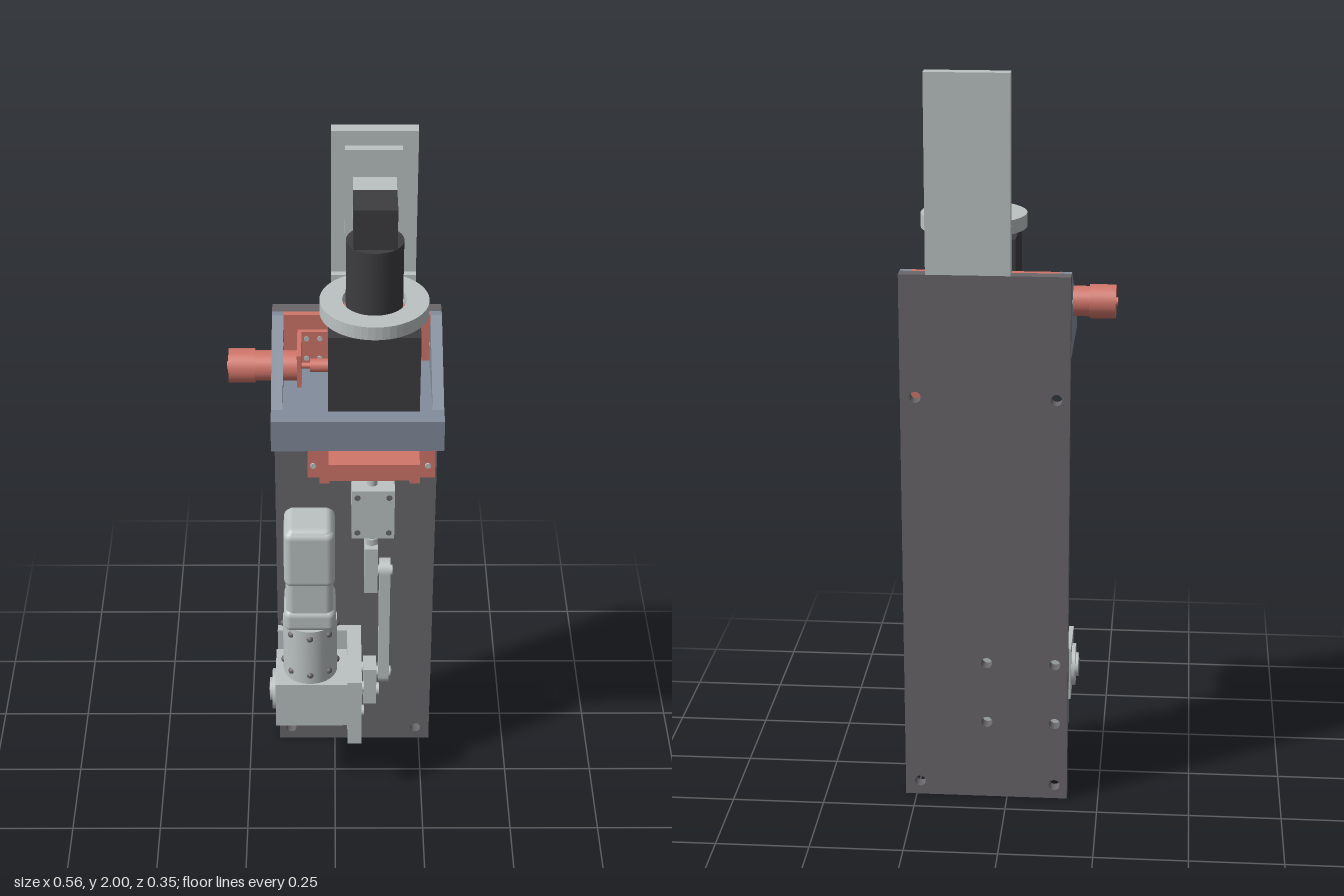
import * as THREE from 'three';
import { RoundedBoxGeometry } from 'three/addons/geometries/RoundedBoxGeometry.js';

const mat = (name, color) => {
  const m = new THREE.MeshStandardMaterial({ color });
  m.name = name;
  return m;
};

export function createModel() {
  const model = new THREE.Group();
  const dark = mat('dark grey', 0x69676a), light = mat('light grey', 0xbcc2c2);
  const red = mat('coral red', 0xd2766a), blue = mat('blue grey', 0x828c9b);
  const black = mat('near black', 0x3d3d40);

  const add = (name, geo, m) => {
    const mesh = new THREE.Mesh(geo, m);
    mesh.name = name;
    model.add(mesh);
    return mesh;
  };
  // Box given by its min and max on each axis
  const box = (name, m, x0, x1, y0, y1, z0, z1, r = 0) => {
    const s = [x1 - x0, y1 - y0, z1 - z0];
    const geo = r ? new RoundedBoxGeometry(...s, 3, r) : new THREE.BoxGeometry(...s);
    const mesh = add(name, geo, m);
    mesh.position.set((x0 + x1) / 2, (y0 + y1) / 2, (z0 + z1) / 2);
    return mesh;
  };
  // Cylinder from a to b along one axis; u, v are the two other coordinates in x, y, z order
  const rod = (name, m, axis, a, b, u, v, r, seg = 32) => {
    const geo = new THREE.CylinderGeometry(r, r, b - a, seg);
    if (axis === 'x') geo.rotateZ(Math.PI / 2);
    if (axis === 'z') geo.rotateX(Math.PI / 2);
    const mesh = add(name, geo, m), c = (a + b) / 2;
    if (axis === 'x') mesh.position.set(c, u, v);
    else if (axis === 'y') mesh.position.set(u, c, v);
    else mesh.position.set(u, v, c);
    return mesh;
  };
  const shapeOf = pts => new THREE.Shape(pts.map(p => new THREE.Vector2(...p)));
  const hole = (shape, x, y, r) => {
    const p = new THREE.Path();
    p.absarc(x, y, r, 0, Math.PI * 2, true);
    shape.holes.push(p);
  };
  const extrude = (shape, depth) => new THREE.ExtrudeGeometry(shape, { depth, bevelEnabled: false, curveSegments: 24 });

  // Drilled back plate
  const plate = shapeOf([[-0.165, 0], [0.28, 0], [0.28, 1.48], [-0.165, 1.48]]);
  [[-0.13, 0.04], [0.24, 0.04], [-0.13, 0.225], [-0.13, 0.4], [0.055, 0.225], [0.055, 0.4],
    [-0.13, 1.15], [0.24, 1.15]].forEach(([x, y]) => hole(plate, x, y, 0.015));
  add('backPlate', extrude(plate, 0.037), dark).position.z = -0.177;

  // Upper mast and the arm that holds the sensor head
  box('mast', light, -0.01, 0.21, 1.48, 2, -0.177, -0.14);
  box('mastFoot', light, -0.01, 0.21, 1.3, 1.6, -0.14, -0.12);
  box('mastPad', light, 0.025, 0.17, 1.72, 1.96, -0.14, -0.115);
  box('headArm', light, 0.045, 0.155, 1.775, 1.885, -0.117, -0.045);
  box('headBlock', black, 0.045, 0.155, 1.775, 1.885, -0.045, 0.062);
  rod('headBarrel', black, 'y', 1.59, 1.775, 0.1, 0.01, 0.073, 48);

  // Flange ring around the barrel
  const ring = new THREE.Shape();
  ring.absarc(0, 0, 0.14, 0, Math.PI * 2);
  hole(ring, 0, 0, 0.082);
  const ringGeo = extrude(ring, 0.037);
  ringGeo.rotateX(-Math.PI / 2);
  add('flangeRing', ringGeo, light).position.set(0.1, 1.567, 0.01);
  rod('ringSeat', red, 'y', 1.555, 1.575, 0.1, 0.01, 0.083, 48);

  // Main housing with a recessed rim on top
  box('housing', black, -0.018, 0.217, 1.255, 1.552, -0.11, 0.127);
  for (const x of [-0.018, 0.207]) box('housingRimSide', black, x, x + 0.01, 1.552, 1.56, -0.11, 0.127);
  for (const z of [-0.11, 0.117]) box('housingRimEnd', black, -0.008, 0.207, 1.552, 1.56, z, z + 0.01);
  box('housingBase', dark, 0, 0.19, 1.21, 1.25, -0.08, 0.11);

  // Shelf with sloping side cheeks
  box('shelf', blue, -0.165, 0.28, 1.25, 1.34, -0.14, 0.175);
  box('shelfUnderside', red, -0.13, 0.25, 1.246, 1.25, -0.138, 0.11);
  const cheek = shapeOf([[0.14, 1.34], [-0.12, 1.34], [0.12, 1.48], [0.14, 1.48]]);
  for (const x of [-0.135, 0.28]) {
    const geo = extrude(cheek, 0.03);
    geo.rotateY(Math.PI / 2);
    geo.translate(x - 0.03, 0, 0);
    add('sideCheek', geo, blue);
    rod('cheekScrew', light, 'x', x - 0.031, x + 0.001, 1.395, -0.11, 0.007, 16);
  }
  box('shelfBacking', red, -0.135, 0.25, 1.34, 1.48, -0.14, -0.122);

  // Side drive: motor, bracket, shaft and coupling
  const my = 1.38, mz = -0.033;
  rod('sideMotorCap', red, 'x', -0.282, -0.27, my, mz, 0.012);
  rod('sideMotor', red, 'x', -0.277, -0.208, my, mz, 0.045);
  rod('sideMotorGearhead', red, 'x', -0.208, -0.099, my, mz, 0.04);
  box('sideMotorBracket', red, -0.099, -0.088, 1.335, 1.435, -0.122, 0.012);
  box('sideMotorFlange', red, -0.099, -0.02, 1.335, 1.435, -0.122, -0.11);
  for (const x of [-0.075, -0.04]) for (const y of [1.355, 1.415])
    rod('flangeScrew', light, 'z', -0.112, -0.107, x, y, 0.007, 16);
  rod('sideShaft', red, 'x', -0.09, -0.06, my, mz, 0.008);
  rod('sideCoupling', red, 'x', -0.065, -0.01, my, mz, 0.018);

  // Red carriage: two guide strips, cross piece and projecting arm
  for (const [x0, x1] of [[-0.075, -0.015], [0.205, 0.275]]) {
    box('guideFoot', red, x0, x1, 0.96, 1.185, -0.14, -0.125);
    const inner = x0 < 0 ? x1 - 0.028 : x0;
    box('guideRail', red, inner, inner + 0.028, 0.96, 1.19, -0.125, -0.095);
    const sx = x0 < 0 ? x0 + 0.015 : x1 - 0.02;
    for (const y of [1.0, 1.15]) rod('guideScrew', light, 'z', -0.126, -0.12, sx, y, 0.008, 16);
  }
  box('carriageBack', red, -0.015, 0.22, 1.06, 1.19, -0.13, -0.105);
  box('carriageArm', red, -0.017, 0.22, 1.14, 1.19, -0.105, 0.15);
  for (let i = 0; i < 5; i++)
    box('rackTooth', red, 0.19, 0.24, 1.19 + i * 0.012, 1.197 + i * 0.012, -0.135, -0.097);
  box('rackBack', red, 0.19, 0.24, 1.19, 1.25, -0.14, -0.11);

  // Plunger and its guide block
  const cx = 0.1, cz = 0.012;
  rod('plunger', light, 'y', 0.83, 1.21, cx, cz, 0.014);
  box('guideBlock', light, 0.045, 0.16, 0.88, 1.035, -0.14, 0.05);
  for (const x of [0.06, 0.145]) for (const y of [0.9, 1.015])
    rod('blockScrew', dark, 'z', 0.045, 0.053, x, y, 0.008, 16);
  rod('plungerNut', light, 'y', 0.84, 0.86, cx, cz, 0.02, 6);

  // Clevis, connecting link and crank
  box('clevis', light, 0.08, 0.117, 0.69, 0.84, -0.022, 0.046);
  const link = new THREE.Shape();
  link.absarc(0, 0.75, 0.03, 0, Math.PI);
  link.absarc(0, 0.385, 0.03, Math.PI, Math.PI * 2);
  const linkGeo = extrude(link, 0.03);
  linkGeo.rotateY(Math.PI / 2);
  add('link', linkGeo, light).position.set(0.122, 0, cz);
  for (const y of [0.745, 0.385]) {
    rod('linkPin', light, 'x', 0.08, 0.158, y, cz, 0.015);
    rod('linkPinHead', dark, 'x', 0.156, 0.16, y, cz, 0.009, 6);
  }
  box('crank', light, 0.08, 0.117, 0.29, 0.415, -0.02, 0.044);
  rod('crankShaft', light, 'x', 0.02, 0.125, 0.32, cz, 0.018);

  // Gearmotor bracket
  box('gearBracketBack', light, -0.165, 0.075, 0.205, 0.43, -0.14, -0.115);
  box('gearBracketSide', light, 0.035, 0.075, 0.205, 0.43, -0.115, 0.12);
  rod('bracketScrew', dark, 'z', -0.116, -0.111, -0.13, 0.225, 0.012, 16);
  for (let i = 0; i < 4; i++) {
    const a = Math.PI / 4 + i * Math.PI / 2;
    rod('bracketBolt', light, 'x', 0.07, 0.082, 0.32 + Math.sin(a) * 0.062, cz + Math.cos(a) * 0.062, 0.015, 20);
  }

  // Gearbox, gearhead and motor body
  const gx = -0.07;
  box('gearbox', light, -0.168, 0.035, 0.25, 0.4, -0.068, 0.092);
  rod('gearboxCover', light, 'x', -0.178, -0.165, 0.32, cz, 0.058);
  rod('gearboxHub', light, 'x', -0.186, -0.175, 0.32, cz, 0.033);
  rod('gearboxBore', dark, 'x', -0.188, -0.185, 0.32, cz, 0.018);
  rod('gearhead', light, 'y', 0.4, 0.585, gx, cz, 0.076, 40);
  for (const y of [0.43, 0.56]) for (let i = 0; i < 8; i++) {
    const a = i * Math.PI / 4;
    const s = add('gearheadScrew', new THREE.SphereGeometry(0.01, 10, 8), dark);
    s.position.set(gx + Math.cos(a) * 0.073, y, cz + Math.sin(a) * 0.073);
  }
  box('motorFlange', light, gx - 0.072, gx + 0.072, 0.58, 0.65, cz - 0.072, cz + 0.072, 0.02);
  box('motorBody', light, gx - 0.066, gx + 0.066, 0.6, 0.92, cz - 0.066, cz + 0.066, 0.022);
  box('motorCap', light, gx - 0.07, gx + 0.07, 0.73, 0.915, cz - 0.07, cz + 0.07, 0.022);
  return model;
}
